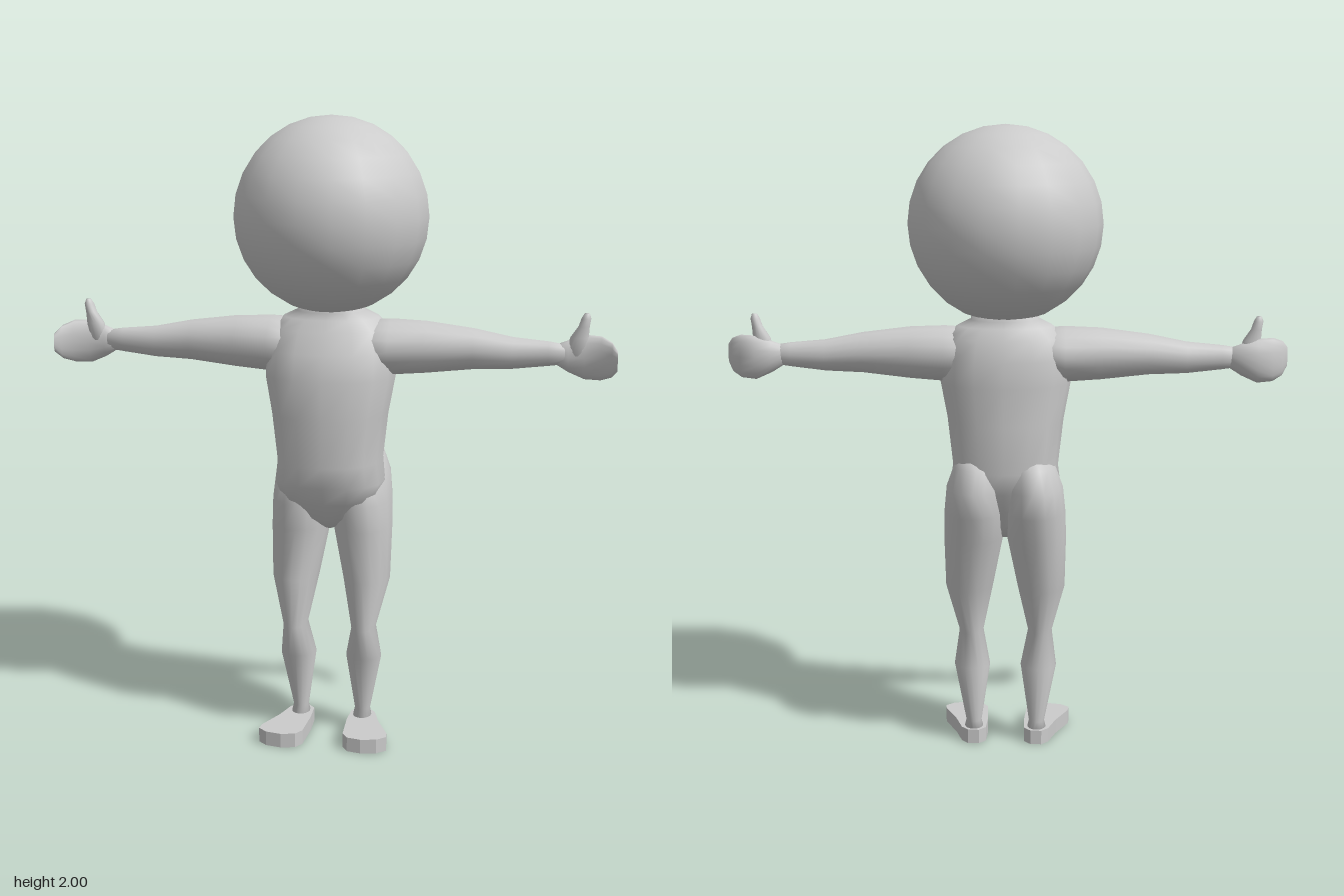
import * as THREE from 'three';

const material = new THREE.MeshStandardMaterial({ color: 0xcccccc });
const SIDES = 16;

// Smooth closed skin through a list of rings (each an array of [x, y, z])
function loft(rings) {
  const n = rings[0].length, pos = [], index = [];
  rings.forEach(r => r.forEach(p => pos.push(...p)));
  for (let i = 0; i < rings.length - 1; i++) {
    for (let j = 0; j < n; j++) {
      const a = i * n + j, b = i * n + (j + 1) % n;
      index.push(a, a + n, b, b, a + n, b + n);
    }
  }
  // End caps
  [0, rings.length - 1].forEach((k, end) => {
    const c = pos.length / 3;
    pos.push(...[0, 1, 2].map(d => rings[k].reduce((s, p) => s + p[d], 0) / n));
    for (let j = 0; j < n; j++) {
      const a = k * n + j, b = k * n + (j + 1) % n;
      if (end) index.push(c, b, a); else index.push(c, a, b);
    }
  });
  // Turn faces outward if the signed volume is negative
  let volume = 0;
  const v = i => new THREE.Vector3(pos[i * 3], pos[i * 3 + 1], pos[i * 3 + 2]);
  for (let i = 0; i < index.length; i += 3) {
    volume += v(index[i]).dot(v(index[i + 1]).cross(v(index[i + 2])));
  }
  if (volume < 0) index.reverse();
  const g = new THREE.BufferGeometry();
  g.setAttribute('position', new THREE.Float32BufferAttribute(pos, 3));
  g.setIndex(index);
  g.computeVertexNormals();
  return g;
}

// Rounded outline; power below 1 makes it squarer
function outline(ru, rv, power = 1) {
  const bend = t => Math.sign(t) * Math.abs(t) ** power;
  return Array.from({ length: SIDES }, (_, i) => {
    const a = (i / SIDES) * Math.PI * 2;
    return [ru * bend(Math.cos(a)), rv * bend(Math.sin(a))];
  });
}

// Upright sections: [y, centre x, radius x, back z, front z]
const upright = (rows, side = 1, power = 1) => loft(rows.map(([y, cx, rx, z0, z1]) =>
  outline(rx, (z1 - z0) / 2, power).map(([u, w]) => [side * (cx + u), y, (z0 + z1) / 2 + w])));

// Sideways sections: [x, bottom y, top y, back z, front z]
const sideways = (rows, side) => loft(rows.map(([x, y0, y1, z0, z1]) =>
  outline((y1 - y0) / 2, (z1 - z0) / 2).map(([u, w]) => [side * x, (y0 + y1) / 2 + u, (z0 + z1) / 2 + w])));

export function createModel() {
  const group = new THREE.Group();
  const add = (name, geometry) => {
    const mesh = new THREE.Mesh(geometry, material);
    mesh.name = name;
    group.add(mesh);
    return mesh;
  };

  // Large round head
  add('head', new THREE.SphereGeometry(0.305, 18, 14)).position.y = 1.695;

  // Torso from crotch to neck
  add('torso', upright([
    [0.70, 0, 0.02, -0.04, 0.05],
    [0.74, 0, 0.08, -0.08, 0.10],
    [0.80, 0, 0.155, -0.11, 0.14],
    [0.86, 0, 0.177, -0.14, 0.17],
    [0.93, 0, 0.168, -0.165, 0.185],
    [1.08, 0, 0.185, -0.155, 0.185],
    [1.20, 0, 0.207, -0.155, 0.18],
    [1.28, 0, 0.205, -0.15, 0.155],
    [1.345, 0, 0.19, -0.13, 0.12],
    [1.38, 0, 0.15, -0.11, 0.10],
    [1.40, 0, 0.108, -0.10, 0.09],
    [1.46, 0, 0.10, -0.09, 0.085],
  ], 1, 0.85));

  for (const [side, label] of [[1, 'left'], [-1, 'right']]) {
    // Leg with buttock, thigh, knee, calf and ankle
    add(label + 'Leg', upright([
      [0.97, 0.08, 0.05, -0.13, 0.0],
      [0.94, 0.085, 0.075, -0.163, 0.06],
      [0.87, 0.093, 0.092, -0.187, 0.10],
      [0.79, 0.096, 0.097, -0.182, 0.12],
      [0.70, 0.101, 0.095, -0.135, 0.098],
      [0.53, 0.116, 0.076, -0.10, 0.092],
      [0.37, 0.112, 0.039, -0.035, 0.10],
      [0.26, 0.108, 0.058, -0.056, 0.062],
      [0.07, 0.103, 0.025, -0.036, 0.018],
      [0.03, 0.103, 0.034, -0.045, 0.045],
    ], side));

    // Arm tapering from shoulder to wrist
    add(label + 'Arm', sideways([
      [0.08, 1.22, 1.37, -0.11, 0.11],
      [0.19, 1.20, 1.377, -0.105, 0.105],
      [0.30, 1.208, 1.373, -0.086, 0.084],
      [0.45, 1.225, 1.354, -0.064, 0.062],
      [0.57, 1.23, 1.33, -0.046, 0.043],
      [0.68, 1.243, 1.32, -0.028, 0.024],
      [0.73, 1.25, 1.312, -0.024, 0.02],
    ], side));

    // Mitten hand curling forward at the fingertips
    add(label + 'Hand', sideways([
      [0.70, 1.25, 1.31, -0.023, 0.018],
      [0.74, 1.225, 1.325, -0.035, 0.02],
      [0.79, 1.203, 1.342, -0.046, 0.02],
      [0.84, 1.205, 1.342, -0.022, 0.034],
      [0.873, 1.22, 1.328, 0.012, 0.054],
      [0.891, 1.245, 1.305, 0.05, 0.07],
    ], side));

    // Raised thumb
    add(label + 'Thumb', upright([
      [1.28, 0.765, 0.035, -0.025, 0.02],
      [1.335, 0.772, 0.028, -0.022, 0.02],
      [1.37, 0.785, 0.017, -0.02, 0.018],
      [1.395, 0.791, 0.015, -0.018, 0.016],
      [1.41, 0.793, 0.008, -0.01, 0.008],
    ], side));

    // Flat foot, wider and turned out at the toes
    const sole = [[0.085, -0.05], [0.12, -0.05], [0.142, -0.025], [0.165, 0.05], [0.205, 0.14],
      [0.208, 0.17], [0.18, 0.195], [0.13, 0.205], [0.085, 0.195], [0.066, 0.165], [0.06, 0.05], [0.063, -0.025]];
    const shape = new THREE.Shape(sole.map(([x, z]) => new THREE.Vector2(side * x, z)));
    const foot = new THREE.ExtrudeGeometry(shape, { depth: 0.047, bevelEnabled: false });
    foot.rotateX(Math.PI / 2).translate(0, 0.047, 0);
    add(label + 'Foot', foot);
  }
  return group;
}
